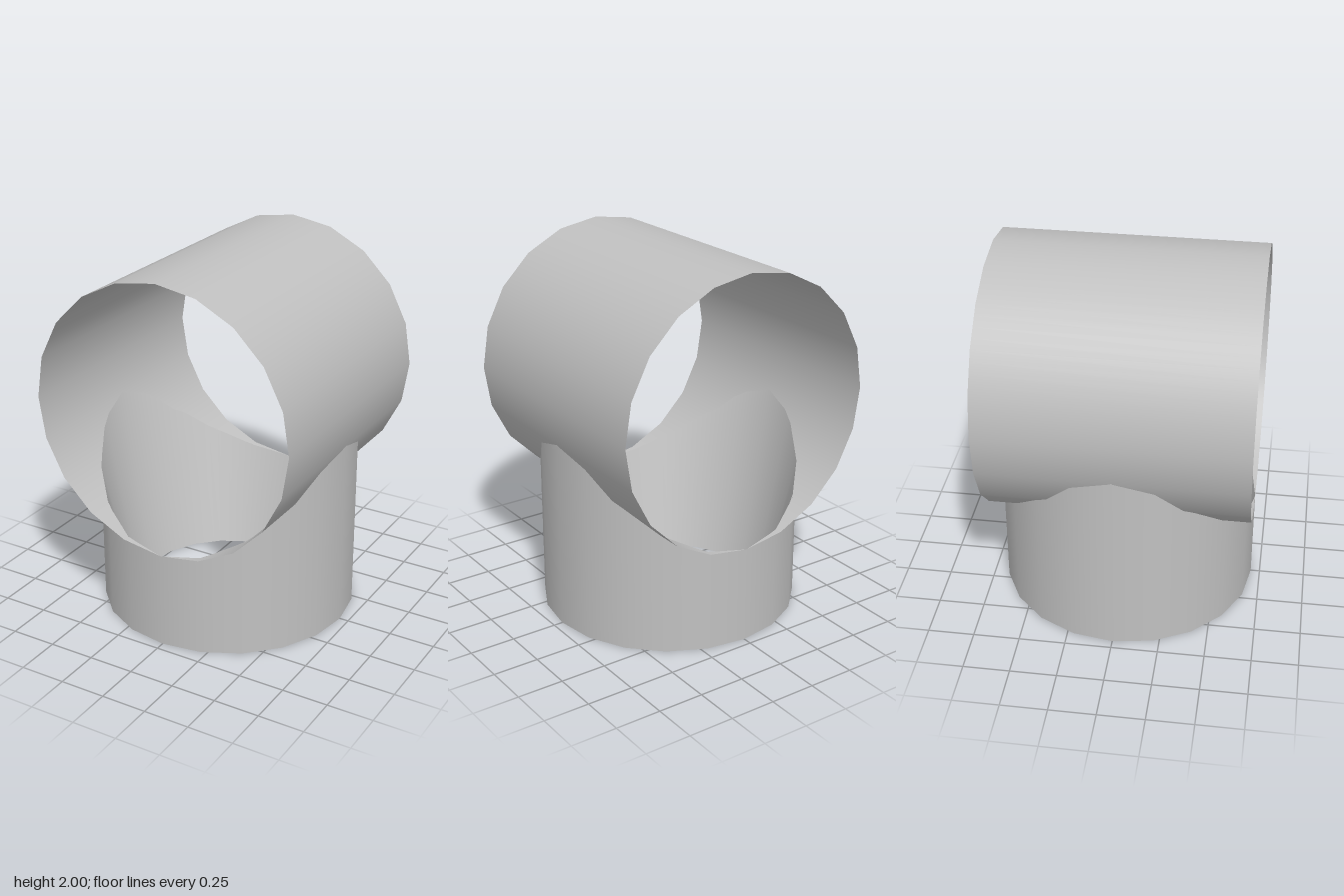
import * as THREE from 'three';

const SIDES = 20, SUB = 4, STEP = (Math.PI * 2) / SIDES;
const TUBE_R = 0.735, PIPE_R = 0.7, BORE_R = 0.525, AXIS_Y = 1.265, HALF = 0.7;

// Point on a regular 20-sided outline; s counts sides and may be fractional.
function outline(s, r) {
  const i = Math.floor(s + 1e-9), t = s - i, a = i * STEP, b = a + STEP;
  return [
    r * (Math.cos(a) * (1 - t) + Math.cos(b) * t),
    r * (Math.sin(a) * (1 - t) + Math.sin(b) * t),
  ];
}

// Half-height of that outline at a given x.
function halfHeight(x, r) {
  const s = Math.acos(THREE.MathUtils.clamp(x / r, -1, 1)) / STEP;
  const i = Math.min(Math.floor(s), SIDES / 2 - 1);
  const [x0, y0] = outline(i, r), [x1, y1] = outline(i + 1, r);
  return THREE.MathUtils.lerp(y0, y1, (x - x0) / (x1 - x0));
}

// Ruled surface between two curves, each given as a function of s.
function loft(name, from, to, curveA, curveB, normalAt, material) {
  const pos = [], nor = [], index = [];
  const n = Math.round((to - from) * SUB);
  for (let i = 0; i <= n; i++) {
    const s = from + i / SUB, normal = normalAt(s * STEP);
    pos.push(...curveA(s), ...curveB(s));
    nor.push(...normal, ...normal);
    if (i < n) {
      const k = i * 2;
      index.push(k, k + 2, k + 1, k + 1, k + 2, k + 3);
    }
  }
  const g = new THREE.BufferGeometry();
  g.setAttribute('position', new THREE.Float32BufferAttribute(pos, 3));
  g.setAttribute('normal', new THREE.Float32BufferAttribute(nor, 3));
  g.setIndex(index);
  const mesh = new THREE.Mesh(g, material);
  mesh.name = name;
  return mesh;
}

export function createModel() {
  const model = new THREE.Group();
  model.name = 'pipeTee';
  const grey = new THREE.MeshStandardMaterial({ color: 0xc0c0c0, side: THREE.DoubleSide });
  grey.name = 'grey';

  // Horizontal tube: full-length wall above, cut away below where the pipe enters
  const tubePoint = (s, z) => {
    const [x, y] = outline(s, TUBE_R);
    return [x, AXIS_Y + y, z];
  };
  const cutZ = (s) => {
    const x = outline(s, TUBE_R)[0];
    return Math.abs(x) < PIPE_R ? halfHeight(x, PIPE_R) : 0;
  };
  const tubeNormal = (a) => [Math.cos(a), Math.sin(a), 0];
  const addTube = (name, from, to, z0, z1) => model.add(loft(name, from, to,
    (s) => tubePoint(s, z0(s)), (s) => tubePoint(s, z1(s)), tubeNormal, grey));
  const front = () => HALF, back = () => -HALF;
  // angles run counterclockwise seen from +z, so sweep from front edge to back edge
  addTube('tubeUpperWall', -1, 11, front, back);
  addTube('tubeLowerFront', 11, 19, front, cutZ);
  addTube('tubeLowerBack', 11, 19, (s) => -cutZ(s), back);

  // Upright pipe, its top following the underside of the tube
  const ring = (s, r) => {
    const [x, z] = outline(s, r);
    return [x, 0, z];
  };
  const saddle = (s) => {
    const [x, z] = outline(s, PIPE_R);
    return [x, AXIS_Y - halfHeight(x, TUBE_R), z];
  };
  const outward = (a) => [Math.cos(a), 0, Math.sin(a)];
  const inward = (a) => [-Math.cos(a) * 0.96, 0.28, -Math.sin(a) * 0.96];
  model.add(loft('pipeOuterWall', 0, SIDES, saddle, (s) => ring(s, PIPE_R), outward, grey));

  // Tapered bore and the flat foot ring
  model.add(loft('pipeBore', 0, SIDES, (s) => ring(s, BORE_R), saddle, inward, grey));
  model.add(loft('pipeFoot', 0, SIDES, (s) => ring(s, PIPE_R), (s) => ring(s, BORE_R),
    () => [0, -1, 0], grey));
  return model;
}
